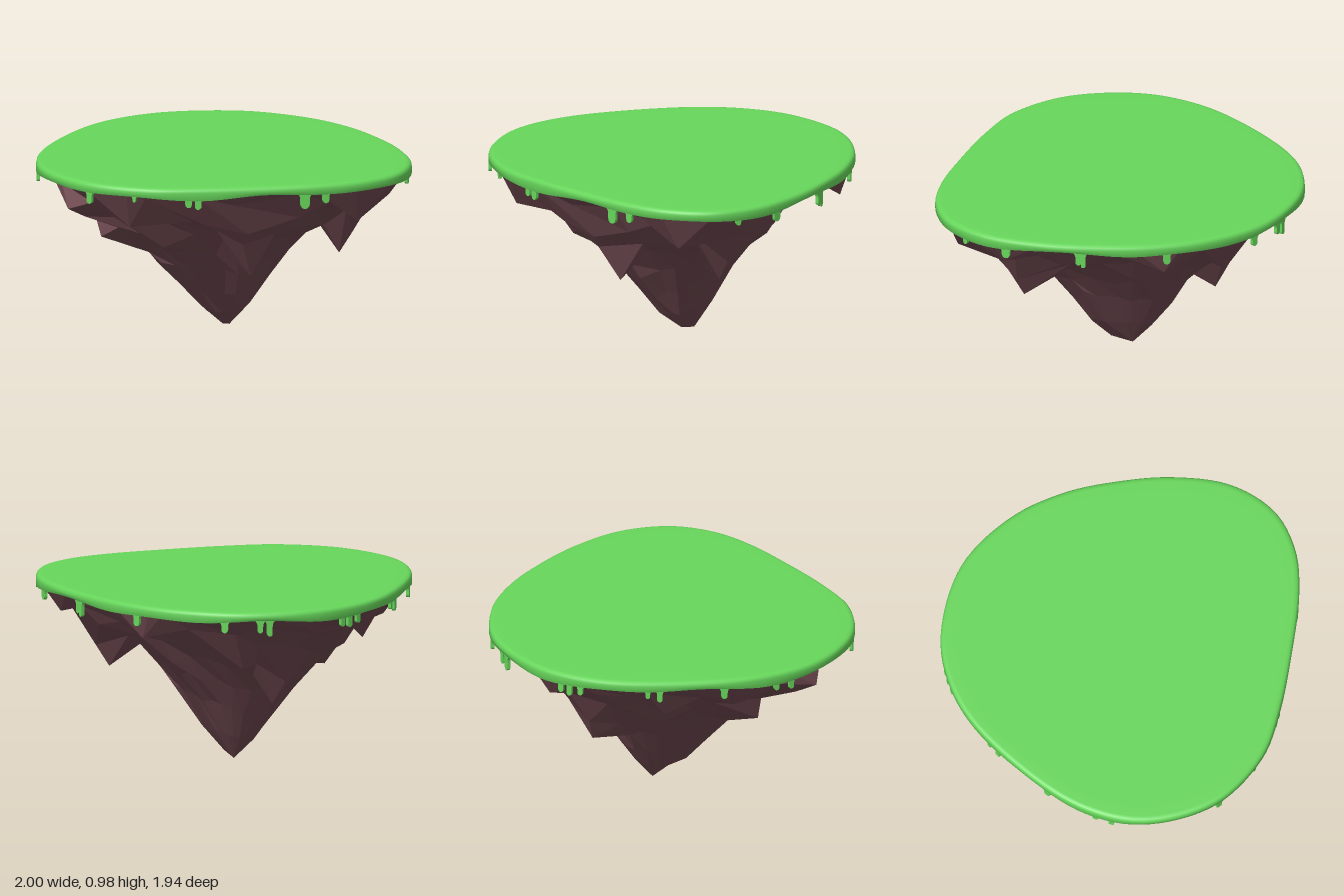
import * as THREE from 'three';

const GRASS = new THREE.MeshStandardMaterial({ color: 0x67d65b });
const ROCK = new THREE.MeshStandardMaterial({ color: 0x6c474e, flatShading: true });

// Seeded noise in -1..1
let seed = 11;
const rnd = () => {
  seed = (seed * 16807) % 2147483647;
  return (seed / 2147483647) * 2 - 1;
};

// Island outline seen from above (x, z)
const OUTLINE = new THREE.CatmullRomCurve3([
  [0.07, -0.975], [0.47, -0.87], [0.75, -0.61], [0.9, -0.32], [0.97, -0.03], [1, 0.27], [0.96, 0.59],
  [0.81, 0.83], [0.59, 0.945], [0.35, 0.97], [0, 0.935], [-0.34, 0.875], [-0.6, 0.79], [-0.85, 0.58],
  [-0.97, 0.33], [-1, 0.08], [-0.93, -0.19], [-0.77, -0.45], [-0.45, -0.79], [-0.21, -0.925],
].map(([x, z]) => new THREE.Vector3(x, 0, z)), true);
const EDGE = OUTLINE.getSpacedPoints(480).slice(0, 480);

// Outline point in the direction of (x, z)
function edgeToward(x, z) {
  const l = Math.hypot(x, z) || 1;
  let best = EDGE[0], score = -2;
  for (const p of EDGE) {
    const s = (p.x * x + p.z * z) / (l * p.length());
    if (s > score) { score = s; best = p; }
  }
  return best;
}

// Skin through closed rings of equal length, listed from top to bottom
function loft(rings) {
  const n = rings[0].length, index = [];
  for (let r = 0; r < rings.length - 1; r++) {
    for (let i = 0; i < n; i++) {
      const a = r * n + i, b = r * n + (i + 1) % n;
      index.push(a, b, a + n, b, b + n, a + n);
    }
  }
  const g = new THREE.BufferGeometry();
  g.setAttribute('position', new THREE.Float32BufferAttribute(rings.flat().flatMap(p => p.toArray()), 3));
  g.setIndex(index);
  g.computeVertexNormals();
  return g;
}

function mesh(name, geometry, material) {
  const m = new THREE.Mesh(geometry, material);
  m.name = name;
  return m;
}

// Flat grass slab with a rounded rim and a wavy lower edge
function grassTop() {
  const profile = [[0, 0.982], [0.9, 0.982], [0.97, 0.982], [0.988, 0.979], [0.997, 0.97], [1, 0.957],
    [1, 0.926, 1], [0.985, 0.922, 1], [0.95, 0.94]];
  return loft(profile.map(([s, y, wavy]) => EDGE.filter((_, i) => i % 4 === 0).map(p => {
    const a = Math.atan2(p.z, p.x);
    const wave = wavy ? 0.007 * Math.sin(5 * a + 1) + 0.006 * Math.sin(9 * a) : 0;
    return new THREE.Vector3(p.x * s, y + wave, p.z * s);
  })));
}

// Round-ended tab of grass hanging from the rim
function drip(x, z, width, bottom) {
  const w = width / 2, shape = new THREE.Shape();
  shape.moveTo(w * 2, 0.94);
  shape.lineTo(-w * 2, 0.94);
  shape.quadraticCurveTo(-w, 0.925, -w, 0.905);
  shape.lineTo(-w, bottom + w);
  shape.absarc(0, bottom + w, w, Math.PI, 2 * Math.PI);
  shape.lineTo(w, 0.905);
  shape.quadraticCurveTo(w, 0.925, w * 2, 0.94);
  const g = new THREE.ExtrudeGeometry(shape, { depth: 0.018, bevelEnabled: false, curveSegments: 5 });
  g.translate(0, 0, -0.019);
  const p = edgeToward(x, z), i = EDGE.indexOf(p);
  const t = EDGE[(i + 1) % 480].clone().sub(EDGE[(i + 479) % 480]);
  const m = mesh('grassDrip', g, GRASS);
  m.position.copy(p);
  m.rotation.y = Math.atan2(-t.z, t.x) + Math.PI;
  return m;
}

// Crag tips and ridge corners: x, y, z
const CRAGS = [
  [0.04, 0.41, 0.6], [0.59, 0.47, 0.45], [0.08, 0.38, -0.5], [-0.64, 0.555, 0.05], [-0.4, 0.56, 0.42],
  [0.58, 0.73, 0.82], [-0.65, 0.73, 0.6], [0.81, 0.79, -0.38], [0.31, 0.61, -0.6], [0.5, 0.58, -0.13],
  [-0.47, 0.7, -0.5], [-0.89, 0.77, 0.25], [-0.3, 0.55, -0.38], [0.25, 0.77, 0.82], [-0.25, 0.74, 0.74],
  [0.78, 0.76, 0.2], [-0.74, 0.76, -0.22], [0.86, 0.79, 0.5], [-0.78, 0.71, 0.2],
  [0.03, 0.37, 0.4], [0.05, 0.23, 0.28], [0.35, 0.41, 0.18], [0.06, 0.44, -0.36], [-0.37, 0.45, 0.05],
];

// Core height by distance from the tip (0) to the rim (1)
const CORE = [[0, 0], [0.13, 0.12], [0.27, 0.29], [0.4, 0.44], [0.53, 0.58], [0.68, 0.7], [0.82, 0.81],
  [0.92, 0.89], [0.985, 0.94], [1.5, 1]];
function coreHeight(s) {
  const i = CORE.findIndex(([t]) => t > s), [s0, y0] = CORE[i - 1], [s1, y1] = CORE[i];
  return y0 + (y1 - y0) * (s - s0) / (s1 - s0);
}

// Faceted underside: a leaning core with crags pulled down from it
function rockUnderside() {
  const n = 24, tipX = 0.08;
  const steps = [0.985, 0.925, 0.83, 0.72, 0.6, 0.48, 0.36, 0.24, 0.12, 0];
  const rings = steps.map((step, r) => Array.from({ length: n }, (_, i) => {
    const free = r > 0 ? step : 0;
    const a = ((i + (r % 2) * 0.4 * free + 0.3 * free * rnd()) / n) * Math.PI * 2;
    // The lowest point is a short edge running front to back
    const tipZ = Math.sin(a) > 0.1 ? 0.08 : -0.04, tipY = tipZ > 0 ? 0.025 : 0;
    const e = edgeToward(Math.cos(a), Math.sin(a));
    const s = Math.min(step * (1 + (r > 0 ? 0.045 * rnd() : 0)), 0.985);
    const narrow = 1 + 0.45 * Math.max(0, Math.cos(a)) * (1 - step);
    const rough = 0.045 * free * (step > 0.9 ? 0.4 : 1);
    const y = r > 0 ? Math.max(tipY, coreHeight(s * narrow)) + rough * rnd() : 0.945;
    return new THREE.Vector3(e.x * s + tipX * (1 - s), y, e.z * s + tipZ * (1 - s) ** 2);
  }));
  const inner = rings.slice(1, -1).flat();
  // Move the nearest corner onto each tip, then drop its surroundings along a cone
  const taken = new Set();
  for (const [x, y, z] of CRAGS) {
    const reach = v => Math.hypot(v.x - x, v.z - z);
    const nearest = inner.filter(v => !taken.has(v)).reduce((a, b) => (reach(b) < reach(a) ? b : a));
    nearest.set(x, y, z);
    taken.add(nearest);
  }
  for (const v of inner) {
    if (taken.has(v)) continue;
    for (const [x, y, z] of CRAGS) v.y = Math.min(v.y, y + 1.6 * Math.hypot(v.x - x, v.z - z));
  }
  return loft(rings);
}

export function createModel() {
  const model = new THREE.Group();
  model.name = 'floatingIsland';
  model.add(mesh('grassTop', grassTop(), GRASS));

  const drips = new THREE.Group();
  drips.name = 'grassDrips';
  // x, z, width, lowest y
  [
    [-0.87, 0.56, 0.035, 0.865], [-0.68, 0.75, 0.016, 0.9], [-0.39, 0.86, 0.035, 0.875], [-0.345, 0.87, 0.035, 0.865],
    [0.24, 0.96, 0.05, 0.85], [0.35, 0.97, 0.035, 0.875], [0.9, 0.71, 0.028, 0.89], [0.98, 0.46, 0.045, 0.87],
    [0.98, 0.065, 0.03, 0.865], [0.98, 0.03, 0.025, 0.85], [0.87, -0.41, 0.038, 0.865], [0.54, -0.82, 0.035, 0.87],
    [0.36, -0.92, 0.03, 0.87], [0.31, -0.94, 0.03, 0.85], [-0.13, -0.96, 0.03, 0.87], [-0.18, -0.94, 0.03, 0.86],
    [-0.24, -0.91, 0.03, 0.875], [-0.55, -0.7, 0.025, 0.885], [-0.6, -0.66, 0.03, 0.865], [-0.82, -0.39, 0.035, 0.87],
    [-0.95, -0.12, 0.03, 0.88], [-0.97, -0.03, 0.03, 0.87],
  ].forEach(d => drips.add(drip(...d)));
  model.add(drips);

  model.add(mesh('rockUnderside', rockUnderside(), ROCK));
  return model;
}
